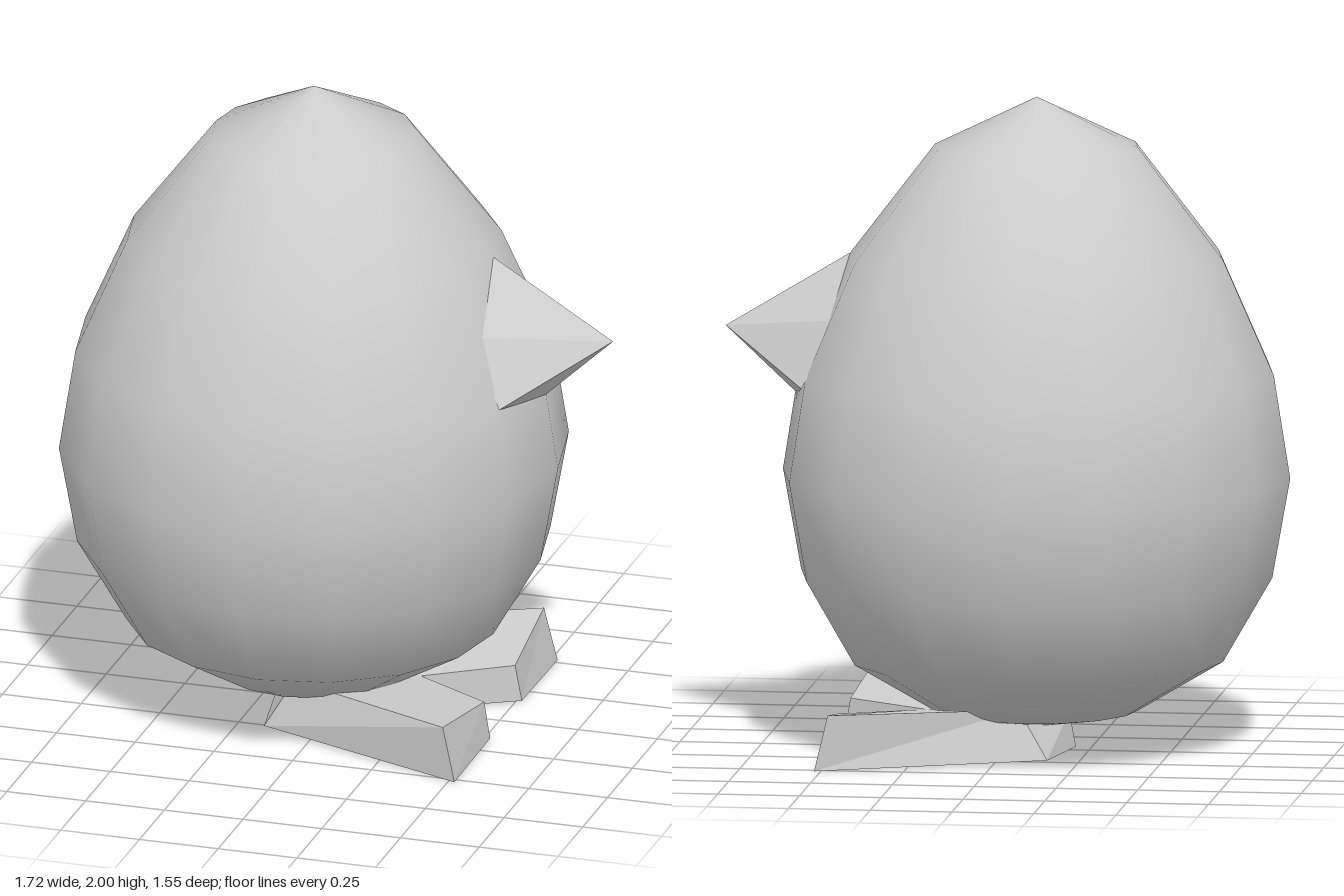
import * as THREE from 'three';

const grey = new THREE.MeshStandardMaterial({ color: 0xcccccc });
const greyFlat = new THREE.MeshStandardMaterial({ color: 0xcccccc, flatShading: true });

// Flat-shaded mesh from a list of triangles, each three [x, y, z] corners
function facetedMesh(name, triangles) {
  const geometry = new THREE.BufferGeometry();
  geometry.setAttribute('position', new THREE.Float32BufferAttribute(triangles.flat(2), 3));
  geometry.computeVertexNormals();
  const mesh = new THREE.Mesh(geometry, greyFlat);
  mesh.name = name;
  return mesh;
}

// Close a half outline whose first and last points lie on the z = 0 plane
function mirrorRing(half) {
  const other = half.slice(1, -1).reverse().map(([x, y, z]) => [x, y, -z]);
  return [...half, ...other];
}

// Smooth egg-shaped body with 16 sides
function createBody() {
  const profile = [
    [0, 0.07], [0.31, 0.125], [0.57, 0.28], [0.72, 0.54], [0.775, 0.845],
    [0.725, 1.16], [0.57, 1.51], [0.31, 1.85], [0, 2],
  ].map(([r, y]) => new THREE.Vector2(r, y));
  const body = new THREE.Mesh(new THREE.LatheGeometry(profile, 16), grey);
  body.name = 'body';
  body.position.x = -0.09;
  return body;
}

// Six-sided pointed beak set against the body
function createBeak() {
  const tip = [0.86, 1.28, 0];
  const ring = mirrorRing([
    [0.48, 1.51, 0], [0.48, 1.34, 0.24], [0.59, 1.135, 0.29], [0.64, 1.075, 0],
  ]);
  return facetedMesh('beak', ring.map((p, i) => [p, ring[(i + 1) % ring.length], tip]));
}

// Two feet joined at the heel in a V, with tapered sides
function createFeet() {
  const bottom = mirrorRing([
    [-0.21, 0.01, 0], [-0.16, 0.01, 0.28], [0.52, 0, 0.52], [0.52, 0.005, 0.16], [0.26, 0.01, 0],
  ]);
  const top = mirrorRing([
    [-0.19, 0.12, 0], [-0.07, 0.16, 0.26], [0.48, 0.17, 0.51], [0.5, 0.12, 0.155], [0.25, 0.115, 0],
  ]);
  const n = bottom.length;
  const notch = 4;
  const triangles = [];
  for (let i = 0; i < n; i++) {
    const j = (i + 1) % n;
    triangles.push([bottom[i], bottom[j], top[j]], [bottom[i], top[j], top[i]]);
    // Sole and upper face fan out from the notch between the feet
    if (i !== notch && j !== notch) {
      triangles.push([top[notch], top[i], top[j]], [bottom[notch], bottom[j], bottom[i]]);
    }
  }
  return facetedMesh('feet', triangles);
}

export function createModel() {
  const model = new THREE.Group();
  model.name = 'eggBird';
  model.add(createBody(), createBeak(), createFeet());
  return model;
}
